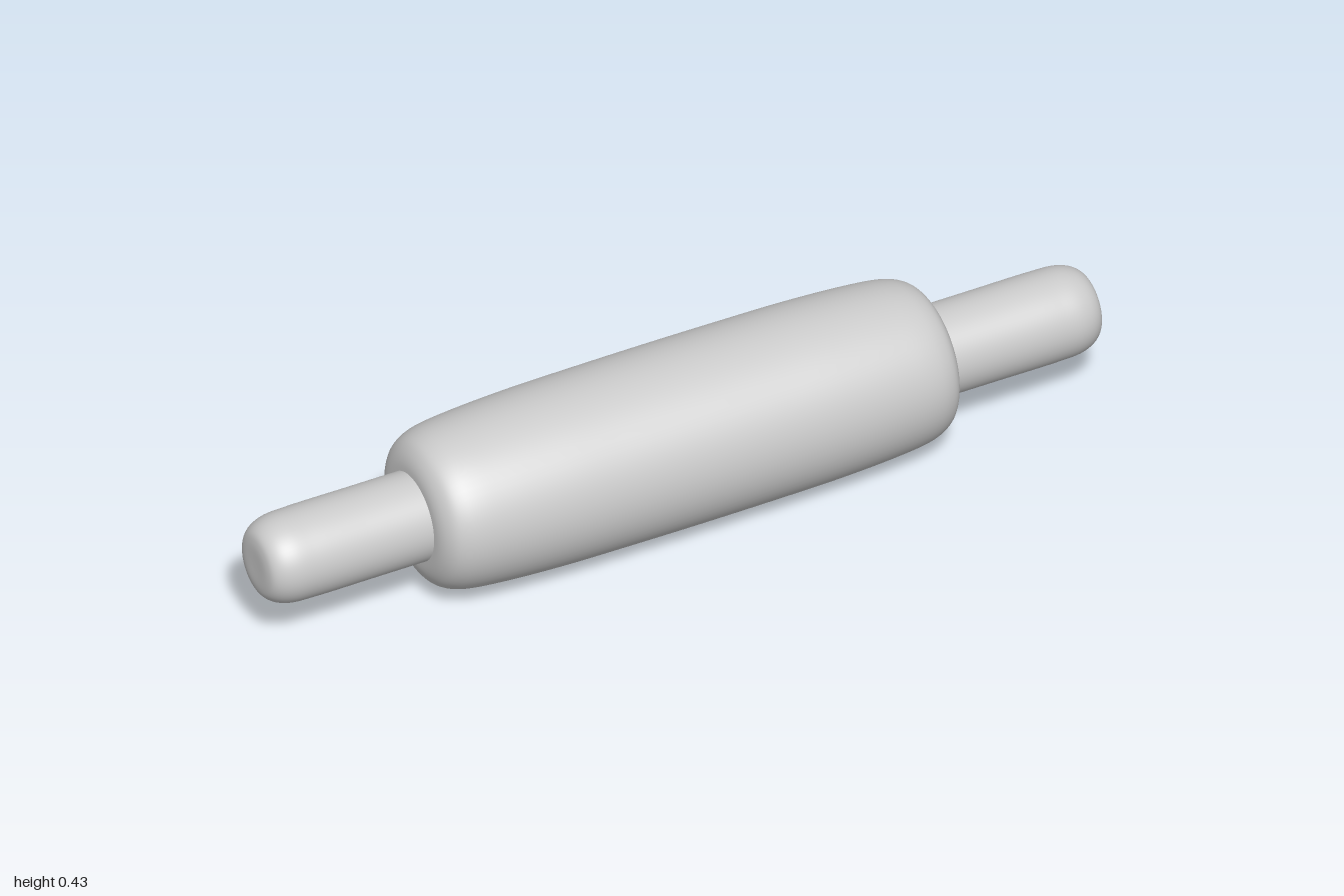
import * as THREE from 'three';

// Smooth solid of revolution about x from [x, radius] points, left to right
function turned(name, points, steps, material) {
  const curve = new THREE.CatmullRomCurve3(
    points.map(([x, r]) => new THREE.Vector3(r, x, 0)), false, 'centripetal');
  const profile = curve.getPoints(steps).map(p => new THREE.Vector2(Math.max(p.x, 0), p.y));
  const mesh = new THREE.Mesh(new THREE.LatheGeometry(profile, 64).rotateZ(-Math.PI / 2), material);
  mesh.name = name;
  return mesh;
}

export function createModel() {
  const material = new THREE.MeshStandardMaterial({ color: 0xcccccc });
  const group = new THREE.Group();
  group.name = 'rollingPin';

  // Slightly barrelled roller with rounded rims
  const half = [
    [0.2, 0.212], [0.35, 0.21], [0.5, 0.203], [0.58, 0.195], [0.615, 0.186],
    [0.64, 0.172], [0.655, 0.153], [0.664, 0.13], [0.667, 0.1], [0.667, 0],
  ];
  const mirrored = half.map(([x, r]) => [-x, r]).reverse();
  group.add(turned('roller', [...mirrored, [0, 0.213], ...half], 120, material));

  // Straight handles with rounded tips, one at each end
  const grip = [
    [0.62, 0.107], [0.8, 0.107], [0.95, 0.107], [1.01, 0.104],
    [1.042, 0.093], [1.06, 0.077], [1.067, 0.055], [1.068, 0],
  ];
  for (const [name, turn] of [['leftHandle', 0], ['rightHandle', Math.PI]]) {
    const handle = turned(name, grip, 60, material);
    handle.rotation.y = turn;
    group.add(handle);
  }

  // The pin lies at an angle across the ground
  group.rotation.y = THREE.MathUtils.degToRad(24.4);
  group.position.y = 0.214;
  const model = new THREE.Group();
  model.add(group);
  return model;
}
